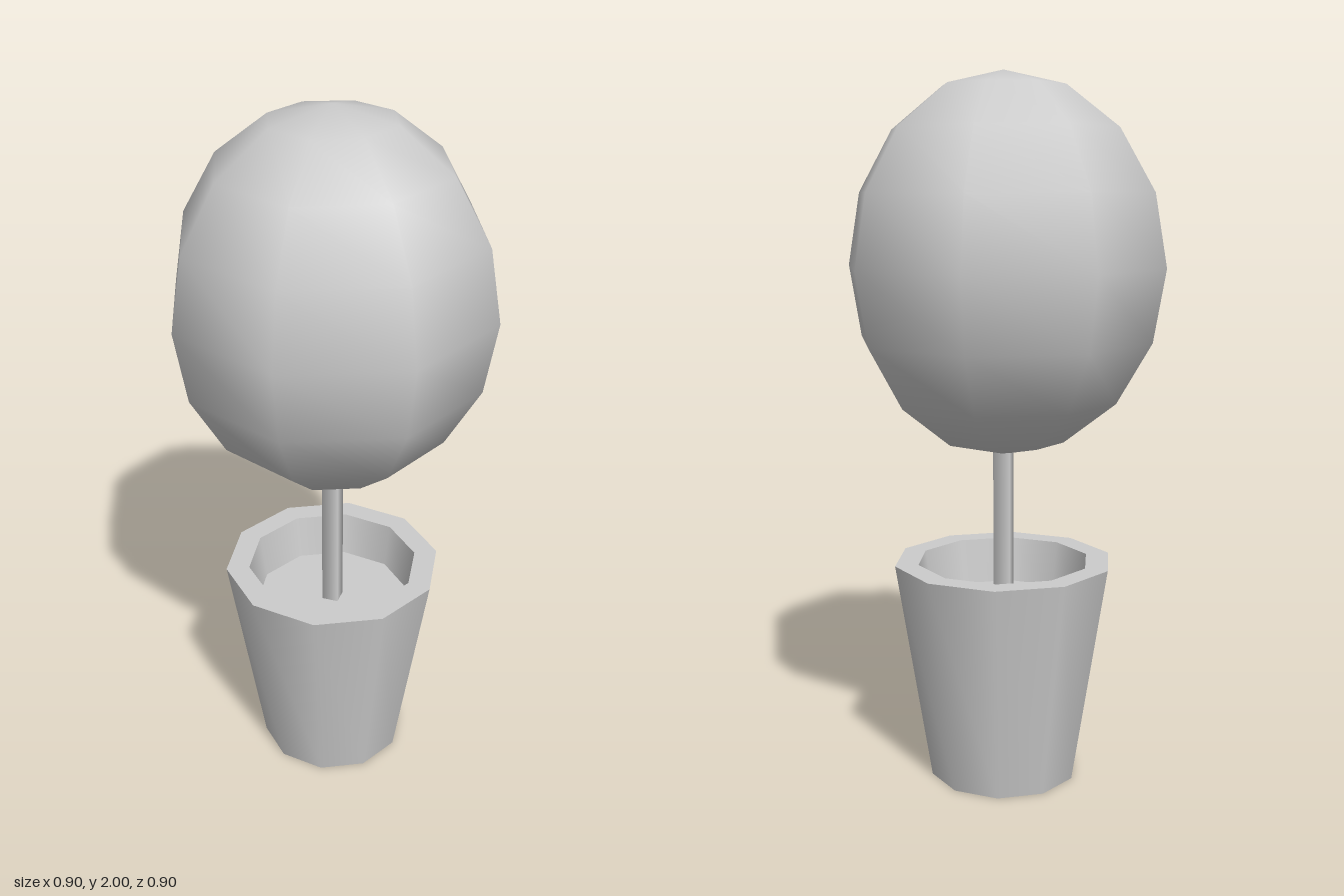
import * as THREE from 'three';

export function createModel() {
  const model = new THREE.Group();
  const grey = new THREE.MeshStandardMaterial({ color: 0xcccccc });

  const add = (parent, name, geometry, y = 0) => {
    const mesh = new THREE.Mesh(geometry, grey);
    mesh.name = name;
    mesh.position.y = y;
    parent.add(mesh);
    return mesh;
  };

  // Ten-sided pot: one lathed band per profile step keeps the rims sharp
  const pot = new THREE.Group();
  pot.name = 'pot';
  const profile = [[0, 0], [0.213, 0], [0.315, 0.635], [0.248, 0.635], [0.228, 0.505], [0, 0.505]];
  const bands = ['potBase', 'potOuterWall', 'potRim', 'potInnerWall', 'soil'];
  bands.forEach((name, i) => {
    const points = [profile[i], profile[i + 1]].map(([r, y]) => new THREE.Vector2(r, y));
    add(pot, name, new THREE.LatheGeometry(points, 10));
  });
  model.add(pot);

  // Thin four-sided trunk from the soil into the crown
  const bottom = 0.505, top = 1.02;
  add(model, 'trunk', new THREE.CylinderGeometry(0.034, 0.034, top - bottom, 4), (top + bottom) / 2);

  // Slightly tall, low-poly crown with smooth shading
  const crown = new THREE.SphereGeometry(0.452, 8, 8);
  crown.scale(1, 0.5275 / 0.452, 1);
  add(model, 'crown', crown, 1.4725);

  return model;
}
